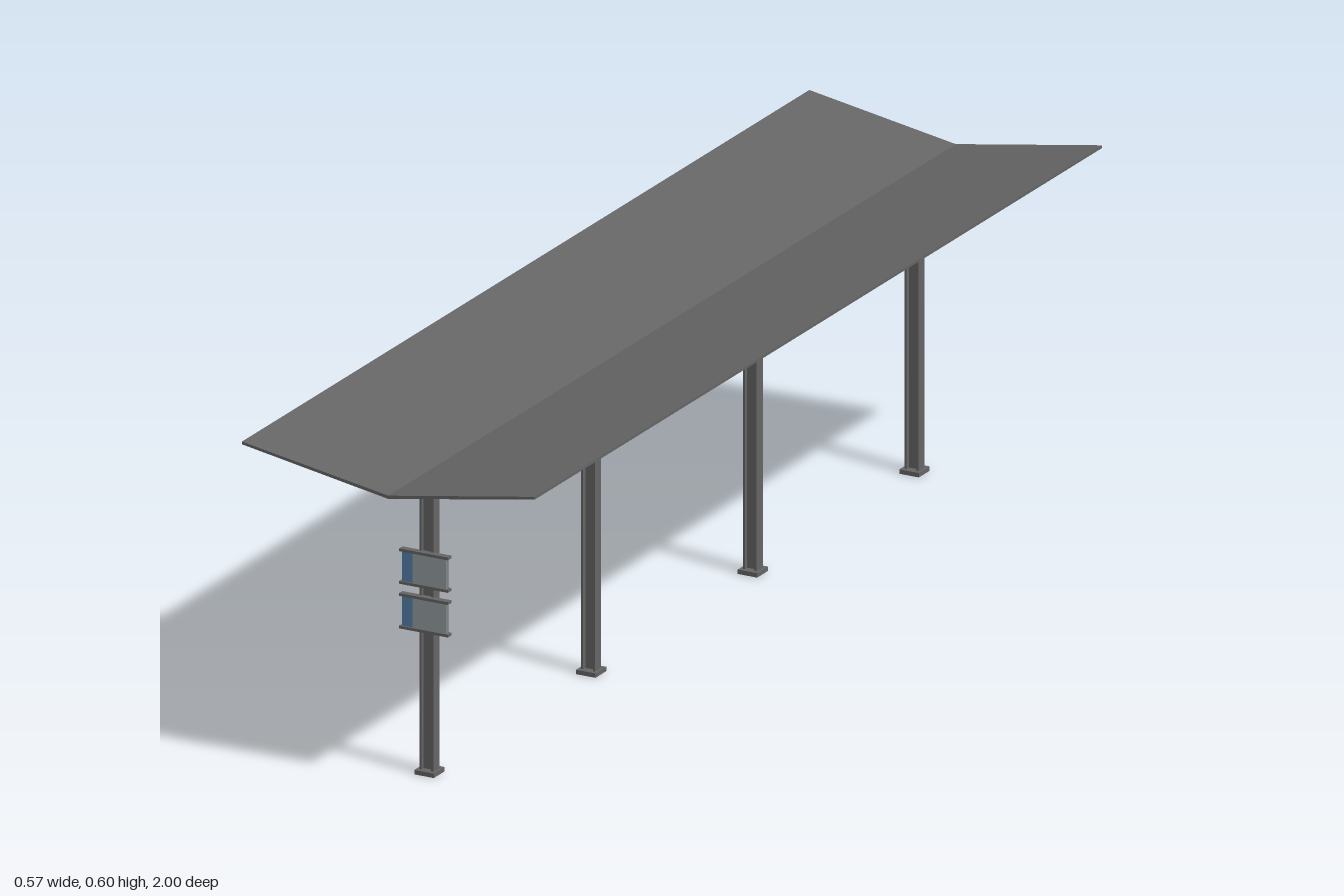
import * as THREE from 'three';

const mat = (name, color) => Object.assign(new THREE.MeshStandardMaterial({ color }), { name });

export function createModel() {
  const steel = mat('steel grey', 0x666666);
  const panel = mat('pale panel grey', 0x979fa1);
  const blue = mat('sign blue', 0x5682ab);

  const model = new THREE.Group();
  model.name = 'platformCanopy';

  // Box given by its x, y and z ranges
  const box = (parent, name, material, [x0, x1], [y0, y1], [z0, z1]) => {
    const mesh = new THREE.Mesh(new THREE.BoxGeometry(x1 - x0, y1 - y0, z1 - z0), material);
    mesh.position.set((x0 + x1) / 2, (y0 + y1) / 2, (z0 + z1) / 2);
    mesh.name = name;
    parent.add(mesh);
  };

  // Steel outline in x and y, extruded along z about the middle
  const slab = (parent, name, points, depth) => {
    const shape = new THREE.Shape(points.map(([x, y]) => new THREE.Vector2(x, y)));
    const geometry = new THREE.ExtrudeGeometry(shape, { depth, bevelEnabled: false });
    geometry.translate(0, 0, -depth / 2);
    const mesh = new THREE.Mesh(geometry, steel);
    mesh.name = name;
    parent.add(mesh);
  };

  // Butterfly roof and the rail below its valley
  slab(model, 'roof', [
    [0, 0.543], [0.285, 0.592], [0.285, 0.597], [0, 0.549], [-0.285, 0.597], [-0.285, 0.592],
  ], 2);
  box(model, 'valleyRail', steel, [-0.008, 0.008], [0.539, 0.546], [-0.985, 0.985]);

  // Posts of H section, each carrying two tapered arms
  for (const z of [-0.855, -0.285, 0.285, 0.855]) {
    const post = new THREE.Group();
    post.name = 'post';
    post.position.z = z;
    box(post, 'basePlate', steel, [-0.019, 0.019], [0, 0.008], [-0.019, 0.019]);
    box(post, 'postWeb', steel, [-0.01, 0.01], [0.008, 0.535], [-0.003, 0.003]);
    box(post, 'capPlate', steel, [-0.015, 0.015], [0.528, 0.532], [-0.012, 0.012]);
    for (const s of [-1, 1]) {
      box(post, 'postFlange', steel, [s * 0.0115 - 0.002, s * 0.0115 + 0.002], [0.008, 0.535], [-0.011, 0.011]);
    }
    slab(post, 'armWeb', [
      [-0.258, 0.58], [-0.013, 0.531], [0.013, 0.531], [0.258, 0.58],
      [0.258, 0.588], [0, 0.544], [-0.258, 0.588],
    ], 0.006);
    slab(post, 'armBottomFlange', [
      [-0.258, 0.58], [-0.013, 0.531], [0.013, 0.531], [0.258, 0.58],
      [0.258, 0.583], [0.013, 0.534], [-0.013, 0.534], [-0.258, 0.583],
    ], 0.02);
    model.add(post);
  }

  // Two signs on the front post
  for (const y of [0.26, 0.341]) {
    const sign = new THREE.Group();
    sign.name = 'postSign';
    sign.position.y = y;
    box(sign, 'signBack', steel, [-0.043, 0.043], [0.003, 0.06], [0.865, 0.869]);
    box(sign, 'signPanel', panel, [-0.024, 0.043], [0.004, 0.06], [0.869, 0.872]);
    box(sign, 'signBlueField', blue, [-0.044, -0.024], [0.004, 0.06], [0.869, 0.872]);
    for (const h of [0, 0.059]) {
      box(sign, 'signRail', steel, [-0.048, 0.047], [h, h + 0.005], [0.863, 0.875]);
    }
    model.add(sign);
  }

  // Hanging display, blue on both faces
  const display = new THREE.Group();
  display.name = 'hangingDisplay';
  box(display, 'displayCase', steel, [-0.005, 0.005], [0.46, 0.544], [-0.056, 0.032]);
  for (const s of [-1, 1]) {
    box(display, 'displayFace', blue, [s * 0.0055 - 0.001, s * 0.0055 + 0.001], [0.462, 0.544], [-0.055, 0.031]);
  }
  model.add(display);

  // Small round lamps under the valley
  for (const z of [-0.57, 0.57]) {
    const lamp = new THREE.Mesh(new THREE.CylinderGeometry(0.015, 0.011, 0.012, 16), steel);
    lamp.position.set(0, 0.535, z);
    lamp.name = 'lamp';
    model.add(lamp);
  }

  return model;
}
